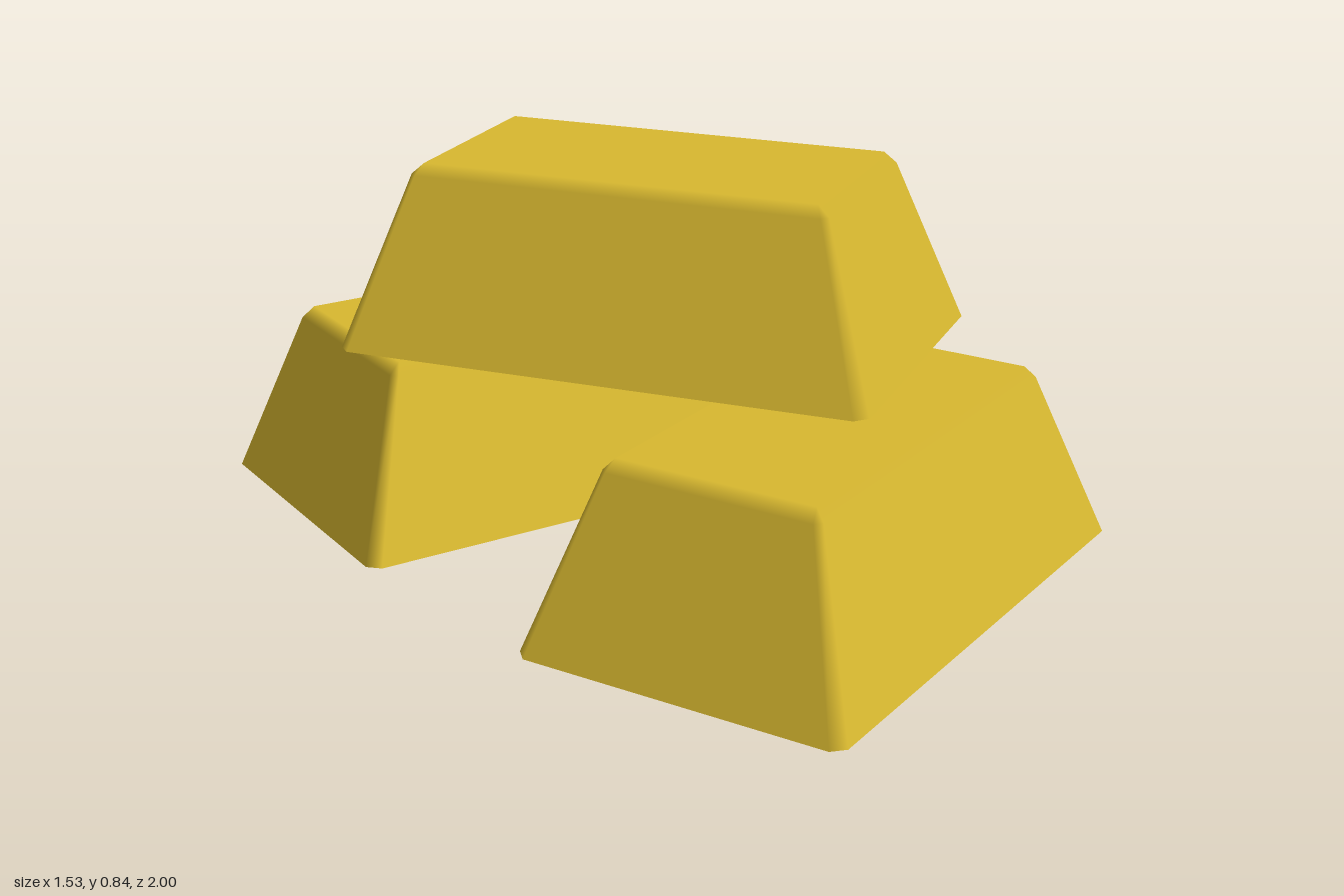
import * as THREE from 'three';

// Tapered bar with chamfered corners and a softly bevelled top edge
function barGeometry(height) {
  const rings = [
    { y: 0, x: 0.63, z: 0.3875, cut: 0.027 },
    { y: height - 0.025, x: 0.495, z: 0.257, cut: 0.015 },
  ];
  const corners = [[1, 1], [1, -1], [-1, -1], [-1, 1]];
  const pos = [], nor = [], idx = [];
  const add = (p, n) => {
    const v = new THREE.Vector3(...n).normalize();
    pos.push(...p);
    nor.push(v.x, v.y, v.z);
  };

  // side rings: two points per corner, each leaning with its own side face
  for (const r of rings) {
    corners.forEach(([sx, sz], i) => {
      const onZ = () => add([sx * (r.x - r.cut), r.y, sz * r.z], [0, 0.33, sz]);
      const onX = () => add([sx * r.x, r.y, sz * (r.z - r.cut)], [sx, 0.34, 0]);
      if (i % 2 === 0) { onZ(); onX(); } else { onX(); onZ(); }
    });
  }
  // top face corners (16..19)
  for (const [sx, sz] of corners) add([sx * 0.467, height, sz * 0.234], [0, 1, 0]);
  // bottom face points (20..27)
  for (let j = 0; j < 8; j++) add(pos.slice(j * 3, j * 3 + 3), [0, -1, 0]);

  for (let j = 0; j < 8; j++) {
    const k = (j + 1) % 8;
    const t = 16 + (j >> 1), u = 16 + (k >> 1);
    idx.push(j, k, 8 + k, j, 8 + k, 8 + j);
    idx.push(8 + j, 8 + k, u);
    if (t !== u) idx.push(8 + j, u, t);
    if (j > 0 && j < 7) idx.push(20, 20 + j + 1, 20 + j);
  }
  idx.push(16, 17, 18, 16, 18, 19);

  const g = new THREE.BufferGeometry();
  g.setAttribute('position', new THREE.Float32BufferAttribute(pos, 3));
  g.setAttribute('normal', new THREE.Float32BufferAttribute(nor, 3));
  g.setIndex(idx);
  return g;
}

export function createModel() {
  const group = new THREE.Group();
  group.name = 'barStack';
  const gold = new THREE.MeshStandardMaterial({ color: 0xd9b930 });
  const geometry = barGeometry(0.417);

  // two bars on the ground, one laid across them
  const bars = [
    ['backBar', [-0.135, 0, -0.6125], 0],
    ['frontBar', [0.0375, 0, 0.394], 25],
    ['topBar', [-0.0125, 0.423, -0.227], -54],
  ];
  for (const [name, position, turn] of bars) {
    const bar = new THREE.Mesh(geometry, gold);
    bar.name = name;
    bar.position.set(...position);
    bar.rotation.y = THREE.MathUtils.degToRad(turn);
    group.add(bar);
  }
  return group;
}
